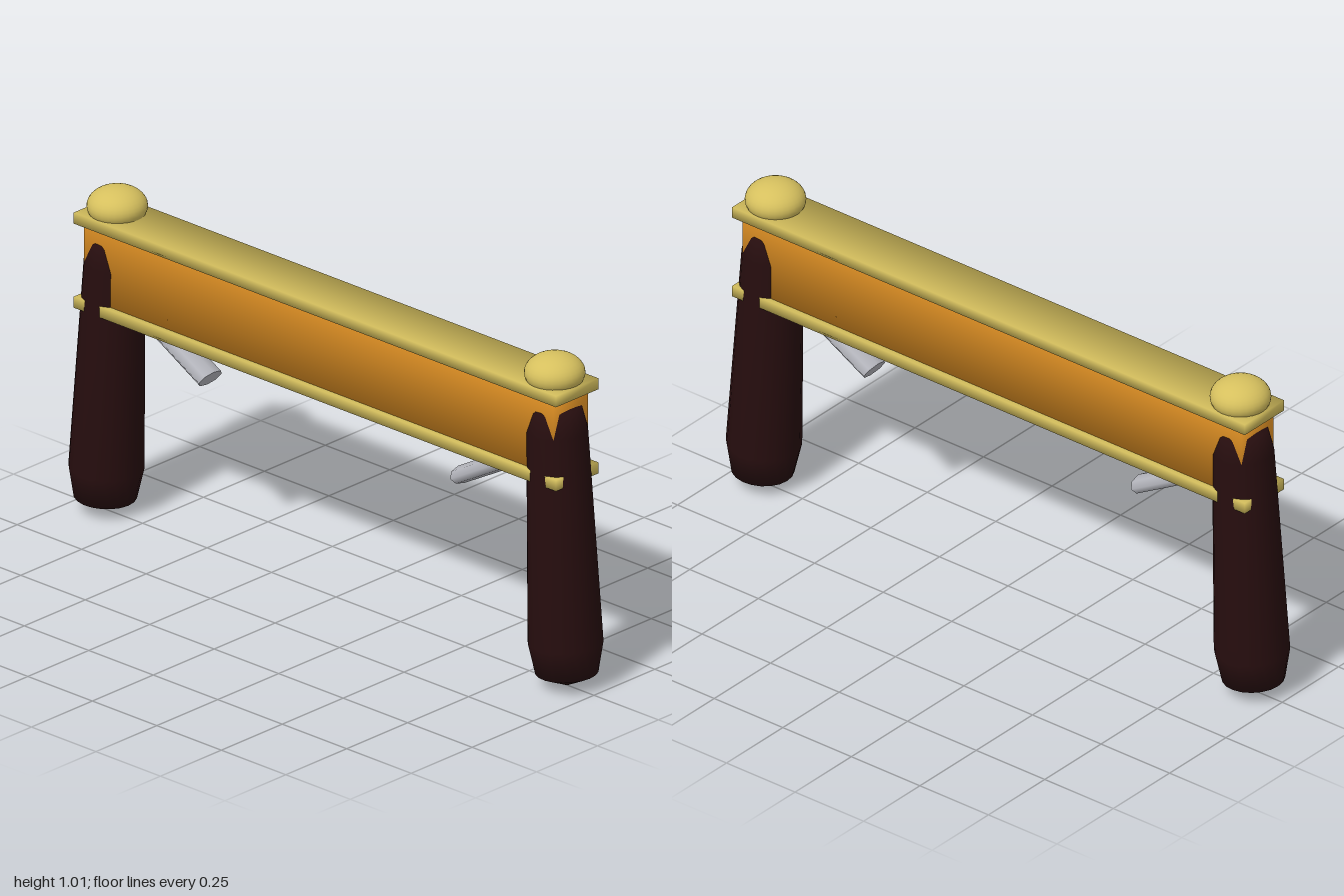
import * as THREE from 'three';

const paint = (name, color) => {
  const m = new THREE.MeshStandardMaterial({ color });
  m.name = name;
  return m;
};

export function createModel() {
  const brass = paint('brass', 0xd6c05e);
  const orange = paint('orange', 0xd68a22);
  const darkWood = paint('darkWood', 0x260d0e);
  const steel = paint('steel', 0xb4b5bc);

  const model = new THREE.Group();
  model.name = 'bracketStand';

  const add = (parent, name, geometry, material, x = 0, y = 0, z = 0) => {
    const mesh = new THREE.Mesh(geometry, material);
    mesh.name = name;
    mesh.position.set(x, y, z);
    parent.add(mesh);
    return mesh;
  };

  // Box whose corner normals are averaged, giving soft shading across its faces
  const softBox = (w, h, d) => {
    const g = new THREE.BoxGeometry(w, h, d);
    const p = g.attributes.position;
    const n = new THREE.Vector3();
    for (let i = 0; i < p.count; i++) {
      n.set(Math.sign(p.getX(i)), Math.sign(p.getY(i)), Math.sign(p.getZ(i))).normalize();
      g.attributes.normal.setXYZ(i, n.x, n.y, n.z);
    }
    return g;
  };

  // Crossbeam with a brass plate above and below
  add(model, 'beam', softBox(1.82, 0.25, 0.142), orange, 0, 0.782);
  add(model, 'topPlate', softBox(1.87, 0.034, 0.174), brass, 0, 0.915);
  add(model, 'bottomPlate', softBox(1.87, 0.034, 0.174), brass, 0, 0.656);

  // Leg outline: pointed foot, bulge, slow taper, chamfered top
  const legOutline = [
    [0, 0.003], [0.09, 0.045], [0.108, 0.14], [0.088, 0.78], [0.073, 0.853], [0, 0.865],
  ].map(([r, y]) => new THREE.Vector2(r, y));
  const legGeometry = new THREE.LatheGeometry(legOutline, 20);

  const knobGeometry = new THREE.SphereGeometry(0.087, 28, 18);
  knobGeometry.scale(1, 0.66, 1);

  // Flattened peg lying along x
  const pegGeometry = new THREE.CylinderGeometry(0.026, 0.026, 0.3, 8);
  pegGeometry.rotateZ(Math.PI / 2);
  pegGeometry.scale(1, 1, 1.8);

  for (const [side, s] of [['left', 1], ['right', -1]]) {
    const end = new THREE.Group();
    end.name = side + 'End';
    model.add(end);

    // Leg leaning inward at the top
    add(end, side + 'Leg', legGeometry, darkWood, s * 0.897).rotation.z = s * 0.05;

    // Domed knob on the top plate
    add(end, side + 'Knob', knobGeometry, brass, s * 0.848, 0.953);

    // Peg sloping down toward the middle
    add(end, side + 'Peg', pegGeometry, steel, s * 0.618, 0.602).rotation.z = s * 0.51;
  }
  return model;
}
